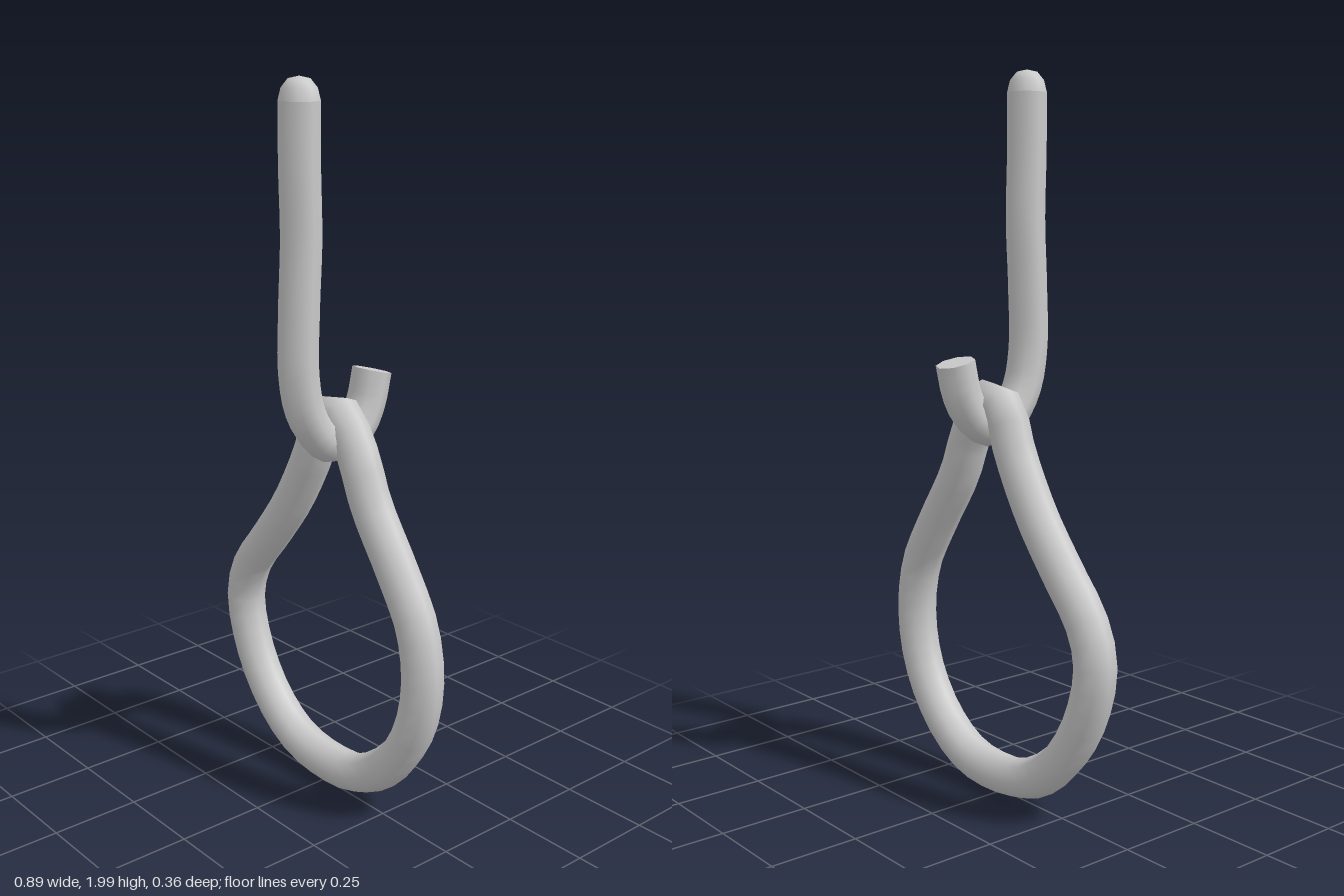
import * as THREE from 'three';

const SIDES = 8;
const ROD_RADIUS = 0.054;
const LOOP_RADIUS = 0.057;

export function createModel() {
  const group = new THREE.Group();
  const material = new THREE.MeshStandardMaterial({ color: 0xcccccc });
  const add = (name, geometry) => {
    const mesh = new THREE.Mesh(geometry, material);
    mesh.name = name;
    group.add(mesh);
    return mesh;
  };

  // Closed teardrop ring, lying in one plane
  const ring = [
    [0.03, 0.063], [0.15, 0.085], [0.27, 0.17], [0.355, 0.3], [0.385, 0.45],
    [0.36, 0.6], [0.285, 0.73], [0.175, 0.895], [0.115, 1.03], [0.04, 1.122],
    [-0.02, 1.095], [-0.065, 0.985], [-0.155, 0.825], [-0.255, 0.695],
    [-0.355, 0.57], [-0.387, 0.46], [-0.345, 0.3], [-0.25, 0.165], [-0.13, 0.085],
  ].map(([x, y]) => new THREE.Vector3(x, y, -0.012));
  const ringCurve = new THREE.CatmullRomCurve3(ring, true);
  add('teardropRing', new THREE.TubeGeometry(ringCurve, 48, LOOP_RADIUS, SIDES, true));

  // Long shank bending under the top of the ring into a short hook, as [y, z]
  const shank = [
    [1.94, 0.123], [1.78, 0.123], [1.6, 0.119], [1.42, 0.127], [1.25, 0.129],
    [1.14, 0.106], [1.065, 0.055], [1.04, 0], [1.065, -0.06], [1.13, -0.102],
    [1.225, -0.126],
  ].map(([y, z]) => new THREE.Vector3(0.046, y, z));
  const shankCurve = new THREE.CatmullRomCurve3(shank);
  add('hookShank', new THREE.TubeGeometry(shankCurve, 36, ROD_RADIUS, SIDES));

  // Rounded upper tip
  const tipProfile = [[ROD_RADIUS, 0], [0.046, 0.032], [0.028, 0.054], [0, 0.06]]
    .map(([r, y]) => new THREE.Vector2(r, y));
  const tip = add('shankTip', new THREE.LatheGeometry(tipProfile, SIDES));
  tip.position.copy(shank[0]);

  // Flat cut end of the hook
  const cut = add('hookEnd', new THREE.CircleGeometry(ROD_RADIUS, SIDES));
  cut.position.copy(shankCurve.getPoint(1));
  cut.quaternion.setFromUnitVectors(new THREE.Vector3(0, 0, 1), shankCurve.getTangent(1));

  return group;
}
